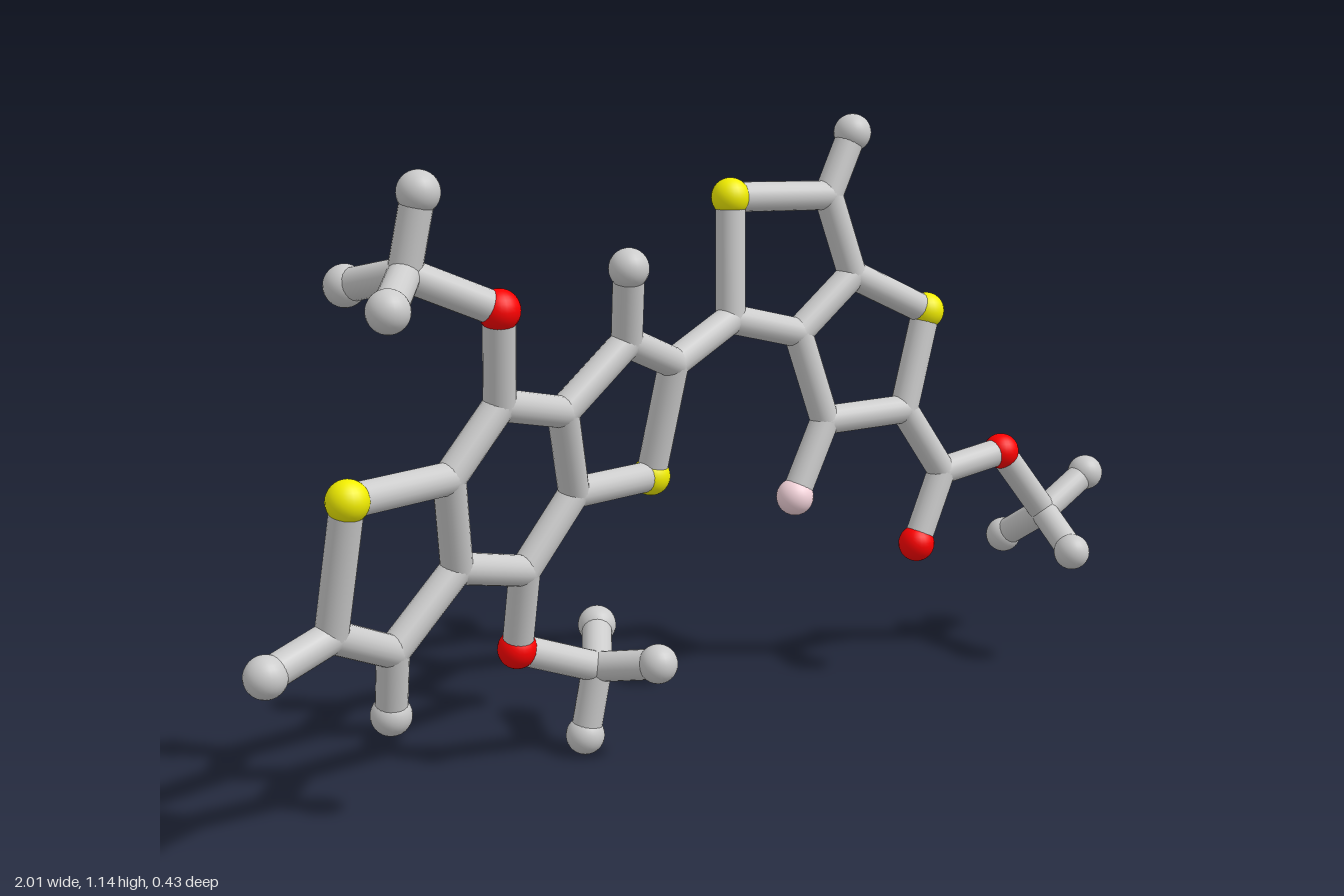
import * as THREE from 'three';

const BALL = 0.036, STICK = 0.028;

// The two fused ring systems each lie in a tilted plane
const leftPlane = (x, y) => -0.015 - 0.17 * (x + 0.457) + 0.212 * (y - 0.557);
const rightPlane = (x, y) => 0.153 * (x - 0.55) - 0.06 * (y - 0.755);
const L = (x, y) => new THREE.Vector3(x, y, leftPlane(x, y));
const R = (x, y) => new THREE.Vector3(x, y, rightPlane(x, y));
const P = (x, y, z) => new THREE.Vector3(x, y, z);

const joints = {
  // left ring system
  a1: L(-0.84, 0.38), a2: L(-0.70, 0.315), a3: L(-0.57, 0.435), a4: L(-0.61, 0.605),
  a5: L(-0.51, 0.715), a6: L(-0.35, 0.675), a7: L(-0.295, 0.515), a8: L(-0.40, 0.39),
  a9: L(-0.205, 0.78), a10: L(-0.065, 0.72),
  // right ring system
  b1: R(0.095, 0.78), b2: R(0.245, 0.74), b3: R(0.375, 0.84), b4: R(0.325, 0.995),
  b5: R(0.49, 0.565), b6: R(0.30, 0.565), b7: R(0.58, 0.43),
  // end groups
  m1: P(-0.685, 0.95, 0.02), m2: P(-0.225, 0.17, -0.08), m3: P(0.845, 0.31, 0.07),
};

const yellowBalls = {
  s1: P(-0.83, 0.61, 0.06), s2: P(-0.085, 0.505, -0.09),
  s3: P(0.105, 1.005, -0.083), s4: P(0.55, 0.755, 0),
};
const redBalls = {
  o1: P(-0.53, 0.88, 0.06), o2: P(-0.39, 0.235, -0.1),
  o3: P(0.735, 0.45, 0.045), o4: P(0.515, 0.29, 0.02),
};
const pinkBalls = { f1: P(0.225, 0.425, -0.03) };
const greyBalls = {
  h1: L(-0.97, 0.345), h2: L(-0.69, 0.195), h3: L(-0.225, 0.915), h4: R(0.385, 1.11),
  h5: P(-0.665, 1.08, 0.037), h6: P(-0.775, 0.91, 0.108), h7: P(-0.715, 0.92, -0.108),
  h8: P(-0.245, 0.04, -0.092), h9: P(-0.18, 0.195, 0.04), h10: P(-0.147, 0.212, -0.177),
  h11: P(0.965, 0.375, 0.08), h12: P(0.81, 0.25, 0.177), h13: P(0.845, 0.238, -0.037),
};

// Chains of connected points; each neighbouring pair gets a stick
const chains = [
  's1 a1 a2 a3 a4 s1', 'a4 a5 a6 a7 a8 a3', 'a6 a9 a10 s2 a7', 'h1 a1', 'h2 a2', 'h3 a9',
  'a5 o1 m1 h5', 'h6 m1 h7', 'a8 o2 m2 h8', 'h9 m2 h10',
  'a10 b1 s3 b4 b3 b2 b1', 'b3 s4 b5 b6 b2', 'h4 b4', 'f1 b6',
  'b5 b7 o3 m3 h11', 'b7 o4', 'h12 m3 h13',
];

export function createModel() {
  const model = new THREE.Group();
  const ballGeo = new THREE.SphereGeometry(1, 24, 16);
  const stickGeo = new THREE.CylinderGeometry(STICK, STICK, 1, 20, 1, true);
  const material = (color) => new THREE.MeshStandardMaterial({ color });
  const grey = material(0xcccccc);

  const addBalls = (name, points, radius, mat) => {
    const group = new THREE.Group();
    group.name = name;
    for (const point of Object.values(points)) {
      const ball = new THREE.Mesh(ballGeo, mat);
      ball.name = 'ball';
      ball.position.copy(point);
      ball.scale.setScalar(radius);
      group.add(ball);
    }
    model.add(group);
  };
  addBalls('stickJoints', joints, STICK, grey);
  addBalls('greyEndBalls', greyBalls, BALL, grey);
  addBalls('yellowBalls', yellowBalls, BALL, material(0xf2ee00));
  addBalls('redBalls', redBalls, BALL, material(0xff0000));
  addBalls('pinkBall', pinkBalls, BALL, material(0xf5d5dc));

  // Sticks
  const all = { ...joints, ...yellowBalls, ...redBalls, ...pinkBalls, ...greyBalls };
  const sticks = new THREE.Group();
  sticks.name = 'sticks';
  const up = new THREE.Vector3(0, 1, 0);
  for (const chain of chains) {
    const points = chain.split(' ').map((key) => all[key]);
    for (let i = 1; i < points.length; i++) {
      const dir = points[i].clone().sub(points[i - 1]);
      const stick = new THREE.Mesh(stickGeo, grey);
      stick.name = 'stick';
      stick.position.copy(points[i]).add(points[i - 1]).multiplyScalar(0.5);
      stick.scale.y = dir.length();
      stick.quaternion.setFromUnitVectors(up, dir.normalize());
      sticks.add(stick);
    }
  }
  model.add(sticks);
  return model;
}
